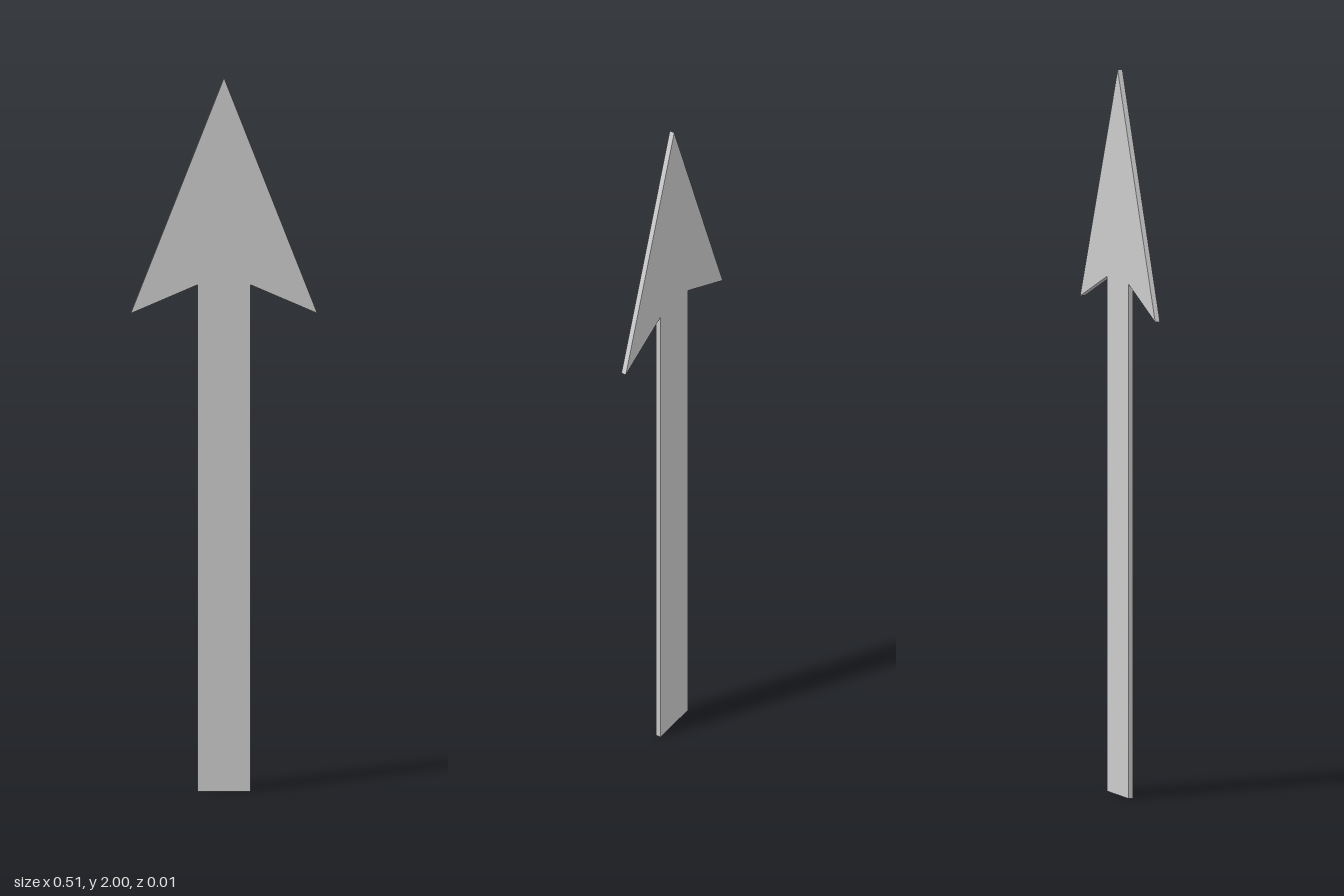
import * as THREE from 'three';

const THICKNESS = 0.014;

export function createModel() {
  const model = new THREE.Group();
  model.name = 'arrow';

  // Right half of the outline, from the foot to the tip
  const half = [
    [0.072, 0],    // foot of the shaft
    [0.072, 1.42], // notch under the head
    [0.254, 1.34], // barb
  ];
  const mirrored = half.map(([x, y]) => [-x, y]).reverse();
  const outline = [...half, [0, 2], ...mirrored].map(([x, y]) => new THREE.Vector2(x, y));

  // Flat plate, centred on z = 0
  const geometry = new THREE.ExtrudeGeometry(new THREE.Shape(outline), {
    depth: THICKNESS,
    bevelEnabled: false,
  });
  geometry.translate(0, 0, -THICKNESS / 2);

  const material = new THREE.MeshStandardMaterial({ color: 0xcccccc, flatShading: true });
  const plate = new THREE.Mesh(geometry, material);
  plate.name = 'arrowPlate';
  model.add(plate);

  return model;
}
